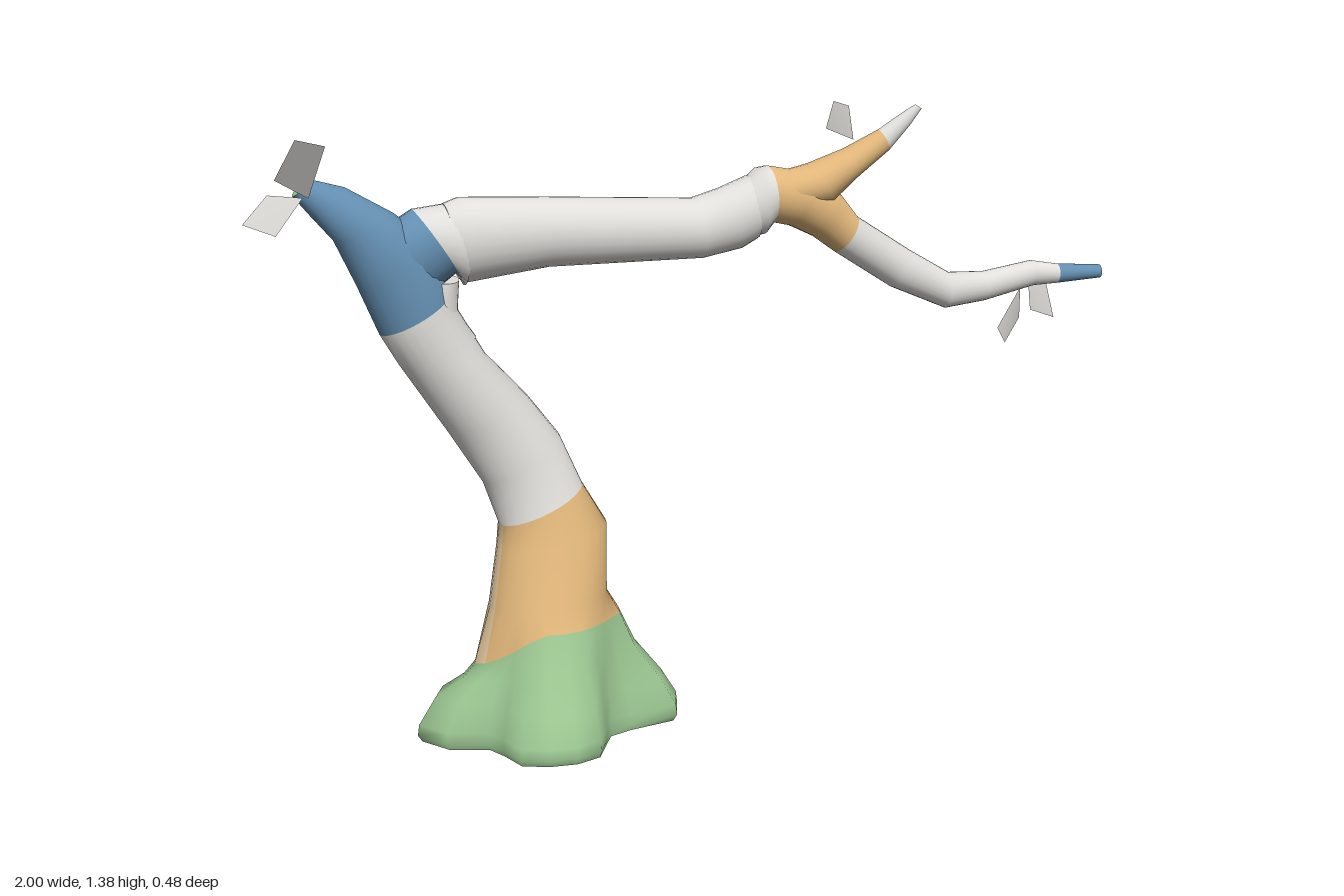
import * as THREE from 'three';

const mat = (name, color, extra = {}) => {
  const m = new THREE.MeshStandardMaterial({ color, ...extra });
  m.name = name;
  return m;
};

const SIDES = 24;
const GREY = 0, ORANGE = 1, GREEN = 2, BLUE = 3, DARK = 4, TAN = 5;

// Elliptical ring: left-of-travel point, right-of-travel point, front z, back z
function ring([lx, ly, rx, ry, zf, zb]) {
  const pts = [];
  for (let i = 0; i < SIDES; i++) {
    const a = (i / SIDES) * Math.PI * 2, c = Math.cos(a) / 2, s = Math.sin(a) / 2;
    pts.push(new THREE.Vector3(
      (lx + rx) / 2 + c * (rx - lx), (ly + ry) / 2 + c * (ry - ly), (zf + zb) / 2 + s * (zf - zb)));
  }
  return pts;
}

// Skin over rings; each band is a material index, or a function of the side number
function loft(name, rings, bands, materials, { capStart = bands[0], capEnd = bands[bands.length - 1] } = {}) {
  const pos = [], idx = [], geo = new THREE.BufferGeometry();
  const paint = (count, m) => {
    const last = geo.groups[geo.groups.length - 1];
    if (last && last.materialIndex === m) last.count += count;
    else geo.addGroup(idx.length, count, m);
  };
  rings.forEach(r => r.forEach(p => pos.push(p.x, p.y, p.z)));
  bands.forEach((band, k) => {
    for (let i = 0; i < SIDES; i++) {
      const a = k * SIDES + i, b = k * SIDES + (i + 1) % SIDES;
      paint(6, typeof band === 'function' ? band(i) : band);
      idx.push(a, a + SIDES, b, b, a + SIDES, b + SIDES);
    }
  });
  const cap = (r, flip, m) => {
    const base = pos.length / 3, mid = new THREE.Vector3();
    r.forEach(p => { pos.push(p.x, p.y, p.z); mid.addScaledVector(p, 1 / SIDES); });
    pos.push(mid.x, mid.y, mid.z);
    paint(SIDES * 3, m);
    for (let i = 0; i < SIDES; i++) {
      const a = base + i, b = base + (i + 1) % SIDES;
      if (flip) idx.push(base + SIDES, a, b); else idx.push(base + SIDES, b, a);
    }
  };
  if (capStart !== null) cap(rings[0], true, capStart);
  cap(rings[rings.length - 1], false, capEnd);
  geo.setAttribute('position', new THREE.Float32BufferAttribute(pos, 3));
  geo.setIndex(idx);
  geo.computeVertexNormals();
  const mesh = new THREE.Mesh(geo, materials);
  mesh.name = name;
  return mesh;
}

export function createModel() {
  const group = new THREE.Group();
  group.name = 'bentTree';
  const leafMat = mat('leafGrey', 0xe0deda, { side: THREE.DoubleSide });
  const palette = [mat('paleGrey', 0xe1dfdb), mat('orange', 0xe2b77b), mat('green', 0x9cc792),
    mat('blue', 0x648fb2), mat('black', 0x141414), mat('tan', 0xe8cca2)];

  // Root flare: lobed outline blending into the round trunk
  const lobes = [.305, .29, .19, .16, .18, .225, .238, .24, .24, .20, .19, .26,
    .30, .27, .21, .23, .25, .25, .23, .20, .19, .22, .27, .29];
  const core = ring([-0.50, 0, -0.22, 0, 0.105, -0.12]);
  const rootRing = (y, blend, tilt = 0) => core.map((p, i) => {
    const a = (i / SIDES) * Math.PI * 2;
    const out = new THREE.Vector3(-0.37 + lobes[i] * Math.cos(a), 0, lobes[i] * Math.sin(a));
    const drop = Math.max(0, Math.cos(a - 3.5));
    const q = p.clone().lerp(out, blend + drop * tilt);
    q.y = y - tilt * drop;
    return q;
  });
  const roots = [[0, 0.94], [0.015, 1], [0.04, 0.98], [0.1, 0.75], [0.18, 0.35, 0.05], [0.26, 0.12, 0.1]]
    .map(r => rootRing(...r));

  // Trunk leaning over to the side stub
  const trunk = [
    [-0.495, 0.30, -0.23, 0.31, 0.095, -0.12],
    [-0.47, 0.42, -0.22, 0.46, 0.055, -0.13],
    [-0.46, 0.47, -0.27, 0.55, 0.028, -0.137],
    [-0.49, 0.565, -0.315, 0.66, 0.01, -0.155],
    [-0.56, 0.68, -0.385, 0.755, 0.008, -0.178],
    [-0.67, 0.85, -0.48, 0.86, 0.012, -0.14],
    [-0.71, 0.92, -0.558, 0.998, 0.015, -0.135],
    [-0.755, 1.03, -0.575, 1.10, 0.015, -0.135],
    [-0.80, 1.13, -0.67, 1.18, 0, -0.125],
    [-0.85, 1.19, -0.77, 1.24, -0.03, -0.105],
    [-0.88, 1.228, -0.845, 1.262, -0.045, -0.09],
  ].map(ring);
  const twoTone = i => (i >= 11 && i < 19 ? TAN : ORANGE);
  group.add(loft('trunk', [...roots, ...trunk],
    [GREEN, GREEN, GREEN, GREEN, GREEN, twoTone, twoTone, twoTone,
      GREY, GREY, GREY, GREY, BLUE, BLUE, BLUE, BLUE], palette, { capStart: null, capEnd: GREEN }));

  // Underside of the roots in coloured sectors
  const under = new THREE.BufferGeometry(), upos = [];
  const sector = [DARK, DARK, GREY, GREY, GREY, ORANGE, ORANGE, GREY, GREY, BLUE, BLUE, BLUE,
    DARK, DARK, DARK, GREY, GREY, ORANGE, ORANGE, ORANGE, ORANGE, ORANGE, DARK, DARK];
  sector.forEach((m, i) => {
    const a = roots[0][i], b = roots[0][(i + 1) % SIDES];
    under.addGroup(i * 3, 3, m);
    upos.push(-0.37, 0, 0, a.x, 0, a.z, b.x, 0, b.z);
  });
  under.setAttribute('position', new THREE.Float32BufferAttribute(upos, 3));
  under.computeVertexNormals();
  const underMesh = new THREE.Mesh(under, palette);
  underMesh.name = 'rootUnderside';
  group.add(underMesh);

  // Socket where the bough leaves the trunk
  group.add(loft('boughSocket', [
    [-0.71, 1.14, -0.64, 0.97, 0.0, -0.12],
    [-0.63, 1.185, -0.54, 1.045, 0.018, -0.138],
    [-0.52, 1.198, -0.525, 1.015, 0.014, -0.125],
  ].map(ring), [BLUE, GREY], palette));

  // Grey web in the crook under the socket
  group.add(loft('crookWeb', [
    [-0.62, 0.90, -0.50, 0.90, -0.01, -0.11],
    [-0.62, 0.96, -0.54, 0.96, -0.01, -0.11],
    [-0.60, 1.03, -0.535, 1.03, -0.01, -0.11],
  ].map(ring), [GREY, GREY], palette));

  // Long horizontal bough
  group.add(loft('bough', [
    [-0.565, 1.195, -0.535, 1.03, 0.01, -0.115],
    [-0.53, 1.207, -0.52, 1.022, 0.018, -0.122],
    [-0.34, 1.195, -0.34, 1.043, 0.016, -0.12],
    [-0.01, 1.172, 0.01, 1.038, 0.016, -0.112],
    [0.05, 1.19, 0.10, 1.055, 0.02, -0.106],
    [0.115, 1.215, 0.135, 1.075, 0.022, -0.102],
  ].map(ring), [GREY, GREY, GREY, GREY, GREY], palette));

  // Collar, fork and long drooping branch
  group.add(loft('droopingBranch', [
    [0.09, 1.19, 0.12, 1.08, 0.015, -0.09],
    [0.135, 1.232, 0.15, 1.085, 0.03, -0.1],
    [0.16, 1.236, 0.168, 1.11, 0.03, -0.095],
    [0.265, 1.215, 0.21, 1.10, 0.03, -0.09],
    [0.335, 1.16, 0.27, 1.07, 0.015, -0.09],
    [0.378, 1.107, 0.325, 1.03, 0.002, -0.09],
    [0.51, 1.02, 0.465, 0.938, -0.005, -0.087],
    [0.61, 0.96, 0.60, 0.878, -0.01, -0.083],
    [0.70, 0.955, 0.70, 0.887, -0.018, -0.08],
    [0.82, 0.972, 0.825, 0.913, -0.023, -0.075],
    [0.885, 0.96, 0.882, 0.915, -0.022, -0.068],
    [0.998, 0.949, 0.998, 0.918, -0.034, -0.064],
  ].map(ring), [GREY, GREY, ORANGE, ORANGE, ORANGE, GREY, GREY, GREY, GREY, GREY, BLUE], palette));

  // Upturned twig on the fork
  group.add(loft('upturnedTwig', [
    [0.18, 1.22, 0.21, 1.13, 0.025, -0.08],
    [0.25, 1.236, 0.305, 1.15, 0.033, -0.075],
    [0.33, 1.268, 0.36, 1.205, 0.034, -0.045],
    [0.405, 1.308, 0.43, 1.262, 0.03, -0.015],
    [0.455, 1.342, 0.475, 1.315, 0.03, 0],
    [0.485, 1.362, 0.50, 1.352, 0.03, 0.015],
  ].map(ring), [ORANGE, ORANGE, ORANGE, GREY, GREY], palette));

  // Flat diamond leaves
  const leaves = [
    [-0.855, 1.23, -0.02, -0.825, 1.345, 0.03, -0.895, 1.37, 0.08, -0.935, 1.285, 0.05],
    [-0.865, 1.23, -0.03, -0.94, 1.242, -0.02, -0.998, 1.19, 0.01, -0.93, 1.16, 0.005],
    [0.355, 1.285, -0.015, 0.345, 1.36, -0.02, 0.29, 1.38, 0.025, 0.275, 1.32, 0.02],
    [0.795, 0.91, -0.05, 0.81, 0.83, -0.08, 0.76, 0.78, -0.05, 0.735, 0.82, -0.04],
    [0.82, 0.92, -0.06, 0.885, 0.91, -0.1, 0.905, 0.82, -0.09, 0.83, 0.85, -0.065],
  ];
  leaves.forEach((p, i) => {
    const geo = new THREE.BufferGeometry();
    geo.setAttribute('position', new THREE.Float32BufferAttribute(p, 3));
    geo.setIndex([0, 1, 2, 0, 2, 3]);
    geo.computeVertexNormals();
    const leaf = new THREE.Mesh(geo, leafMat);
    leaf.name = `leaf${i + 1}`;
    group.add(leaf);
  });

  return group;
}
